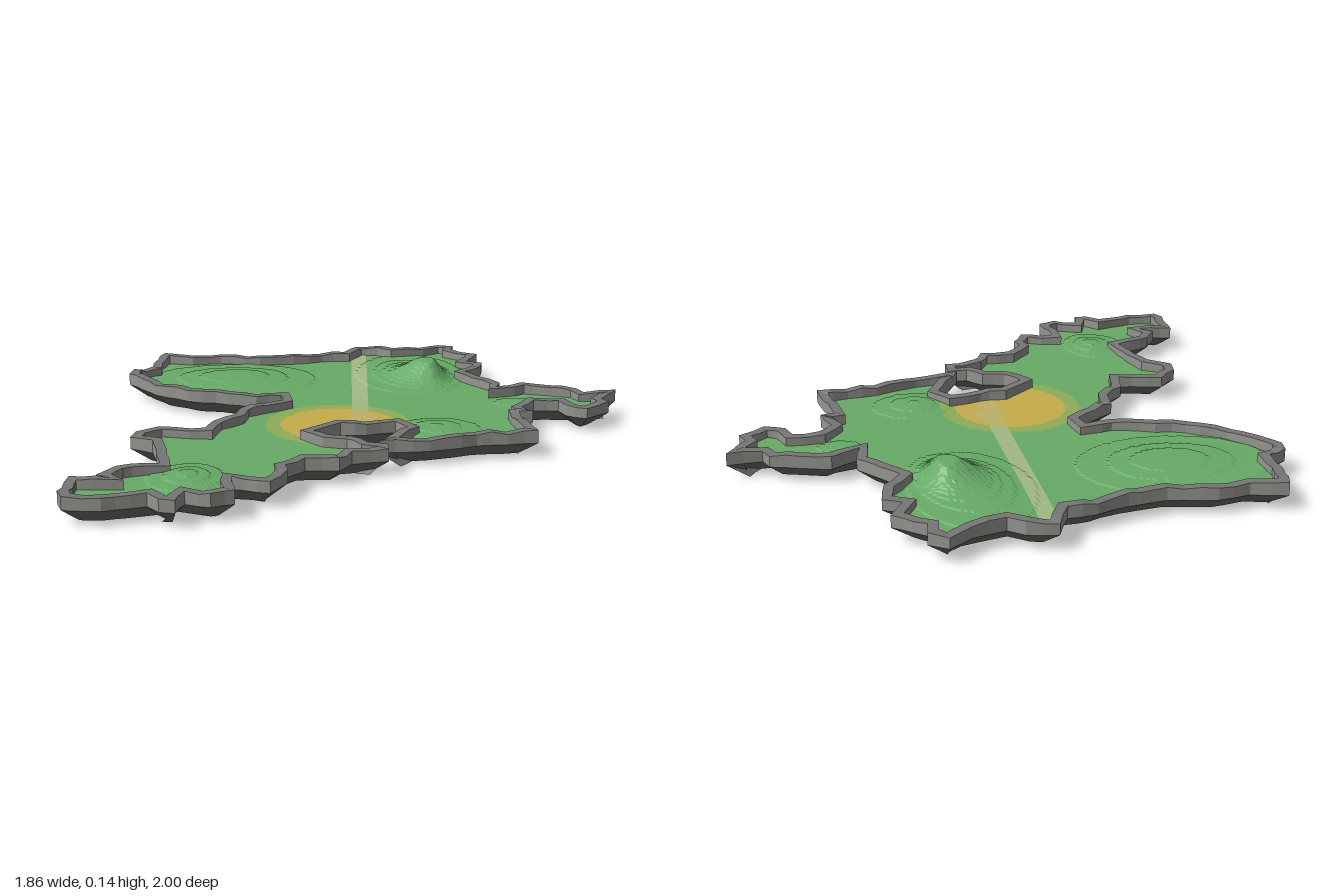
import * as THREE from 'three';

const mat = (name, color) =>
  new THREE.MeshStandardMaterial({ name, color, side: THREE.DoubleSide });

let seed = 7;
const rnd = () => (seed = (seed * 16807) % 2147483647) / 2147483647;

// Coastline corners [x, z], clockwise seen from above
const eastCoast = [
  [-0.03, -0.97], [0.07, -0.95], [0.12, -0.91], [0.23, -0.94], [0.31, -1], [0.37, -0.96],
  [0.36, -0.9], [0.46, -0.82], [0.41, -0.72], [0.47, -0.69], [0.45, -0.59], [0.39, -0.52],
  [0.44, -0.45], [0.51, -0.36], [0.49, -0.28], [0.59, -0.34], [0.79, -0.28], [0.81, -0.23],
  [0.93, -0.24], [0.86, -0.13], [0.88, -0.08], [0.79, 0], [0.72, -0.04], [0.7, -0.1],
  [0.61, -0.1], [0.56, -0.03], [0.59, 0.05], [0.54, 0.06], [0.58, 0.3], [0.37, 0.33],
];
const southCoast = [
  [0.21, 0.39], [0.04, 0.41], [0.14, 0.23], [0.1, 0.17], [0, 0.2], [-0.09, 0.2],
  [-0.18, 0.28], [-0.13, 0.34], [-0.05, 0.36], [0, 0.42], [0.07, 0.43], [0.07, 0.5],
  [-0.05, 0.53], [-0.09, 0.6], [-0.2, 0.6], [-0.26, 0.67], [-0.25, 0.72], [-0.3, 0.82],
  [-0.42, 0.78], [-0.4, 0.92], [-0.47, 0.95], [-0.55, 0.92], [-0.57, 1], [-0.62, 0.99],
  [-0.66, 0.94], [-0.79, 0.98], [-0.91, 0.97],
];
const westCoast = [
  [-0.93, 0.92], [-0.92, 0.77], [-0.79, 0.79], [-0.84, 0.75], [-0.79, 0.67], [-0.66, 0.63],
  [-0.71, 0.4], [-0.79, 0.35], [-0.78, 0.28], [-0.71, 0.21], [-0.55, 0.24], [-0.53, 0.14],
  [-0.46, 0.07], [-0.45, -0.02], [-0.3, -0.13], [-0.31, -0.19], [-0.4, -0.17], [-0.66, -0.25],
  [-0.79, -0.34], [-0.91, -0.5], [-0.9, -0.56], [-0.83, -0.6], [-0.84, -0.69], [-0.81, -0.83],
  [-0.69, -0.8], [-0.58, -0.82], [-0.42, -0.79], [-0.29, -0.81], [-0.18, -0.85], [-0.08, -0.86],
];

// Break long edges into short, slightly ragged pieces
function raggedLoop(corners) {
  const loop = [];
  corners.forEach(([x, z], i) => {
    const [x2, z2] = corners[(i + 1) % corners.length];
    const n = Math.max(1, Math.round(Math.hypot(x2 - x, z2 - z) / 0.05));
    for (let k = 0; k < n; k++) {
      const j = k ? 0.01 : 0;
      loop.push([x + (x2 - x) * k / n + (rnd() - 0.5) * j, z + (z2 - z) * k / n + (rnd() - 0.5) * j]);
    }
  });
  return loop;
}

// Move every point of the loop towards the land
function inset(loop, d) {
  const n = loop.length;
  const normal = (a, b) => new THREE.Vector2(a[1] - b[1], b[0] - a[0]).normalize();
  return loop.map((p, i) => {
    const n1 = normal(loop[(i + n - 1) % n], p);
    const m = n1.clone().add(normal(p, loop[(i + 1) % n])).normalize();
    const s = d / Math.max(0.7, m.dot(n1));
    return [p[0] + m.x * s, p[1] + m.y * s];
  });
}

function flatMesh(name, positions, material) {
  const g = new THREE.BufferGeometry();
  g.setAttribute('position', new THREE.Float32BufferAttribute(positions, 3));
  g.computeVertexNormals();
  const mesh = new THREE.Mesh(g, material);
  mesh.name = name;
  return mesh;
}

// Closed band of flat quads between two loops of 3D points
function band(name, a, b, material) {
  const pos = [];
  a.forEach((p, i) => {
    const j = (i + 1) % a.length;
    pos.push(...p, ...a[j], ...b[j], ...p, ...b[j], ...b[i]);
  });
  return flatMesh(name, pos, material);
}

// Hills: x, z, height, x radius left, x radius right, z radius
const hills = [
  [0.25, -0.53, 0.078, 0.1, 0.055, 0.11],
  [0.16, -0.62, 0.022, 0.14, 0.16, 0.22],
  [-0.5, -0.53, 0.024, 0.25, 0.22, 0.17],
  [0.24, 0.16, 0.018, 0.1, 0.12, 0.1],
  [-0.56, 0.7, 0.02, 0.1, 0.08, 0.11],
  [0.55, -0.18, 0.008, 0.08, 0.08, 0.06],
];
function height(x, z) {
  let h = 0;
  for (const [hx, hz, top, rl, rr, rz] of hills) {
    const u = (x - hx) / (x < hx ? rl : rr), v = (z - hz) / rz;
    h += top * Math.exp(-(u * u + v * v));
  }
  const step = 0.007; // soft terraces
  return 0.06 + Math.min(0.08, 0.5 * h + 0.5 * step * Math.round(h / step));
}

function inside(loop, x, z) {
  let hit = false;
  for (let i = 0, j = loop.length - 1; i < loop.length; j = i++) {
    const [xi, zi] = loop[i], [xj, zj] = loop[j];
    if ((zi > z) !== (zj > z) && x < (xj - xi) * (z - zi) / (zj - zi) + xi) hit = !hit;
  }
  return hit;
}

// Which painted area a spot of ground belongs to
function region(x, z) {
  const d = Math.hypot(x + 0.1, z - 0.09);
  const onRoad = Math.abs(x + 0.02) < 0.028;
  if (d < 0.2) {
    return (onRoad && z < 0.19) || Math.hypot(x + 0.01, z - 0.02) < 0.055 ? 'plazaPath' : 'plaza';
  }
  if (onRoad && z < 0) return 'road';
  return d < 0.255 ? 'plazaRing' : 'grass';
}

export function createModel() {
  const group = new THREE.Group();
  group.name = 'island';
  const wallGrey = mat('wall grey', 0x959590);
  const capGrey = mat('cap grey', 0x767676);
  const rockGrey = mat('rock grey', 0x6c706c);
  const groundMats = {
    grass: mat('grass green', 0x67ab67),
    road: mat('road pale green', 0xa2ba84),
    plazaRing: mat('ring olive', 0x8fac58),
    plaza: mat('plaza gold', 0xc6ac4c),
    plazaPath: mat('path sand', 0xbdb267),
  };

  const coast = raggedLoop([...eastCoast, ...southCoast, ...westCoast]);
  const innerCoast = inset(coast, 0.034);
  const tops = coast.map(() => 0.086 + 0.011 * rnd());
  const at = (loop, y) => loop.map(([x, z], i) => [x, Array.isArray(y) ? y[i] : y, z]);

  // Rim wall and the rock tapering in below it
  group.add(
    band('wallOuter', at(coast, tops), at(coast, 0.05), wallGrey),
    band('wallCap', at(innerCoast, tops), at(coast, tops), capGrey),
    band('wallInner', at(innerCoast, 0.055), at(innerCoast, tops), wallGrey),
    band('rockSkirt', at(coast, 0.05), at(inset(coast, 0.06), 0), rockGrey),
  );

  // Ground cells, sorted by painted area
  const cells = { grass: [], road: [], plazaRing: [], plaza: [], plazaPath: [] };
  const N = 200, s = 2 / N;
  const grid = [];
  for (let i = 0; i <= N; i++) {
    for (let j = 0; j <= N; j++) {
      const x = -1 + i * s, z = -1 + j * s;
      grid.push(inside(coast, x, z) ? [x, height(x, z), z] : null);
    }
  }
  for (let i = 0; i < N; i++) {
    for (let j = 0; j < N; j++) {
      const k = i * (N + 1) + j;
      const a = grid[k], b = grid[k + 1], c = grid[k + N + 2], d = grid[k + N + 1];
      if (!a || !b || !c || !d) continue;
      cells[region(a[0] + s / 2, a[2] + s / 2)].push(...a, ...b, ...c, ...a, ...c, ...d);
    }
  }
  for (const name in cells) group.add(flatMesh(name, cells[name], groundMats[name]));
  return group;
}
